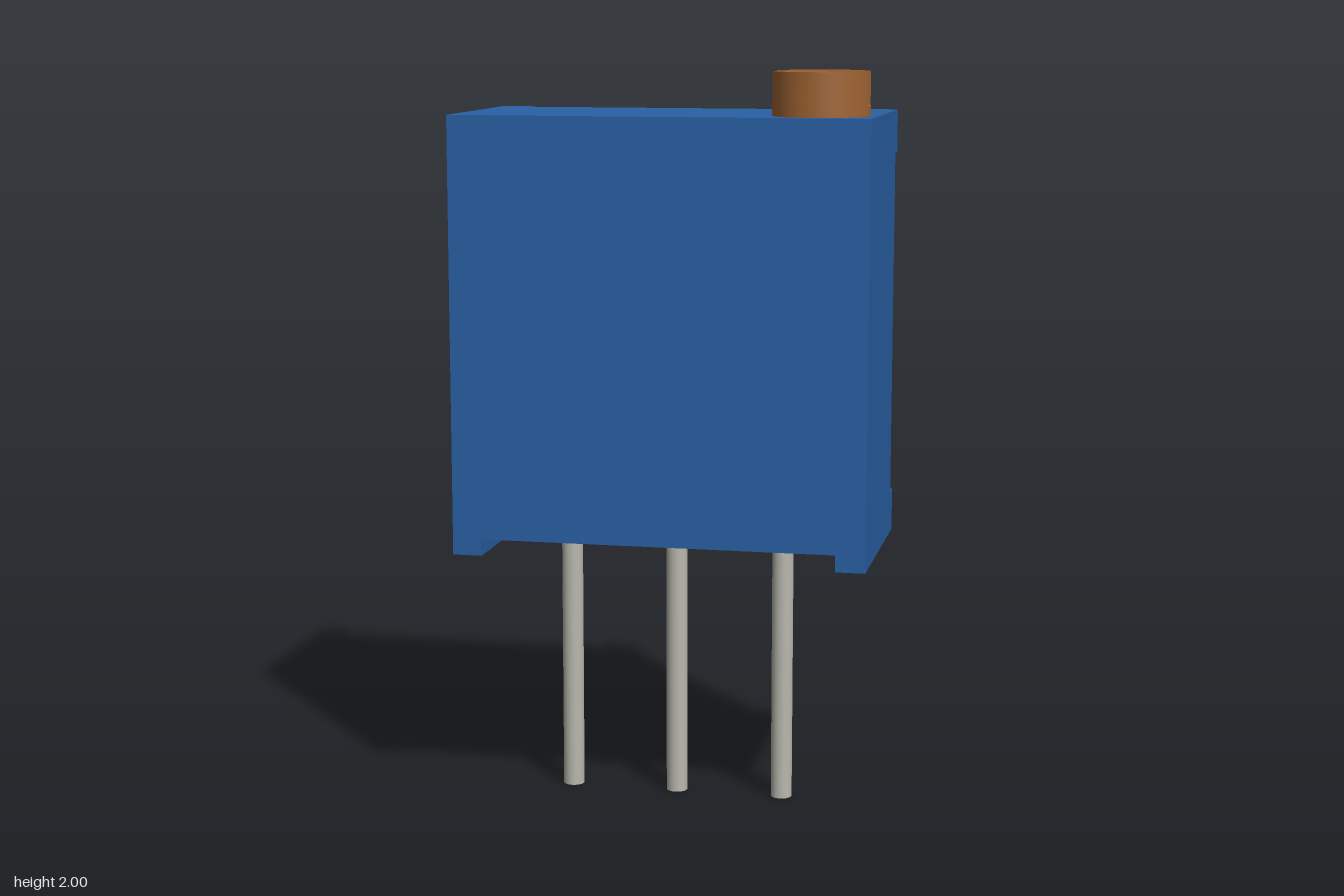
import * as THREE from 'three';

const BLUE = new THREE.MeshStandardMaterial({ color: 0x2860a5 });
const BRASS = new THREE.MeshStandardMaterial({ color: 0xa06432 });
const METAL = new THREE.MeshStandardMaterial({ color: 0xb8b8ae });

const HALF_W = 0.558, FRONT = 0.283, BACK = -0.24, BOTTOM = 0.71, TOP = 1.885;
const FLOOR = 0.755, FOOT = 0.08; // recessed underside and runner width

function add(parent, name, geometry, material, x = 0, y = 0, z = 0) {
  const mesh = new THREE.Mesh(geometry, material);
  mesh.name = name;
  mesh.position.set(x, y, z);
  parent.add(mesh);
  return mesh;
}

// Housing: front outline with a runner along each lower side edge
function createHousing() {
  const housing = new THREE.Group();
  housing.name = 'housing';
  const inner = HALF_W - FOOT;
  const outline = new THREE.Shape([
    [-HALF_W, BOTTOM], [-inner, BOTTOM], [-inner, FLOOR], [inner, FLOOR],
    [inner, BOTTOM], [HALF_W, BOTTOM], [HALF_W, TOP], [-HALF_W, TOP],
  ].map(([x, y]) => new THREE.Vector2(x, y)));
  const body = new THREE.ExtrudeGeometry(outline, { depth: FRONT - BACK, bevelEnabled: false });
  add(housing, 'body', body, BLUE, 0, 0, BACK);

  // Four standoff tabs on the back corners
  const tabH = 0.116, tabD = 0.043;
  for (const side of [-1, 1]) {
    for (const y of [BOTTOM + tabH / 2, TOP - tabH / 2]) {
      add(housing, 'backTab', new THREE.BoxGeometry(FOOT, tabH, tabD), BLUE,
        side * (HALF_W - FOOT / 2), y, BACK - tabD / 2);
    }
  }
  return housing;
}

// Adjustment screw: base disc with two raised segments leaving a slot
function createScrew() {
  const screw = new THREE.Group();
  screw.name = 'adjustmentScrew';
  const radius = 0.128, baseH = 0.027, height = 2 - TOP, halfSlot = 0.034;
  add(screw, 'screwBase', new THREE.CylinderGeometry(radius, radius, baseH, 48), BRASS, 0, baseH / 2, 0);
  const a = Math.asin(halfSlot / radius);
  const segment = new THREE.Shape().absarc(0, 0, radius, a, Math.PI - a, false);
  const half = new THREE.ExtrudeGeometry(segment, {
    depth: height - baseH, bevelEnabled: false, curveSegments: 24,
  }).rotateX(-Math.PI / 2);
  for (const turn of [0, Math.PI]) {
    add(screw, 'screwHalf', half, BRASS, 0, baseH, 0).rotation.y = turn;
  }
  screw.position.set(0.408, TOP, 0.131);
  return screw;
}

export function createModel() {
  const model = new THREE.Group();
  model.name = 'trimmerPotentiometer';
  model.add(createHousing(), createScrew());

  // Three round terminal pins
  const pin = new THREE.CylinderGeometry(0.029, 0.029, FLOOR, 32);
  for (const x of [-0.298, -0.001, 0.295]) add(model, 'pin', pin, METAL, x, FLOOR / 2, 0.001);
  return model;
}
